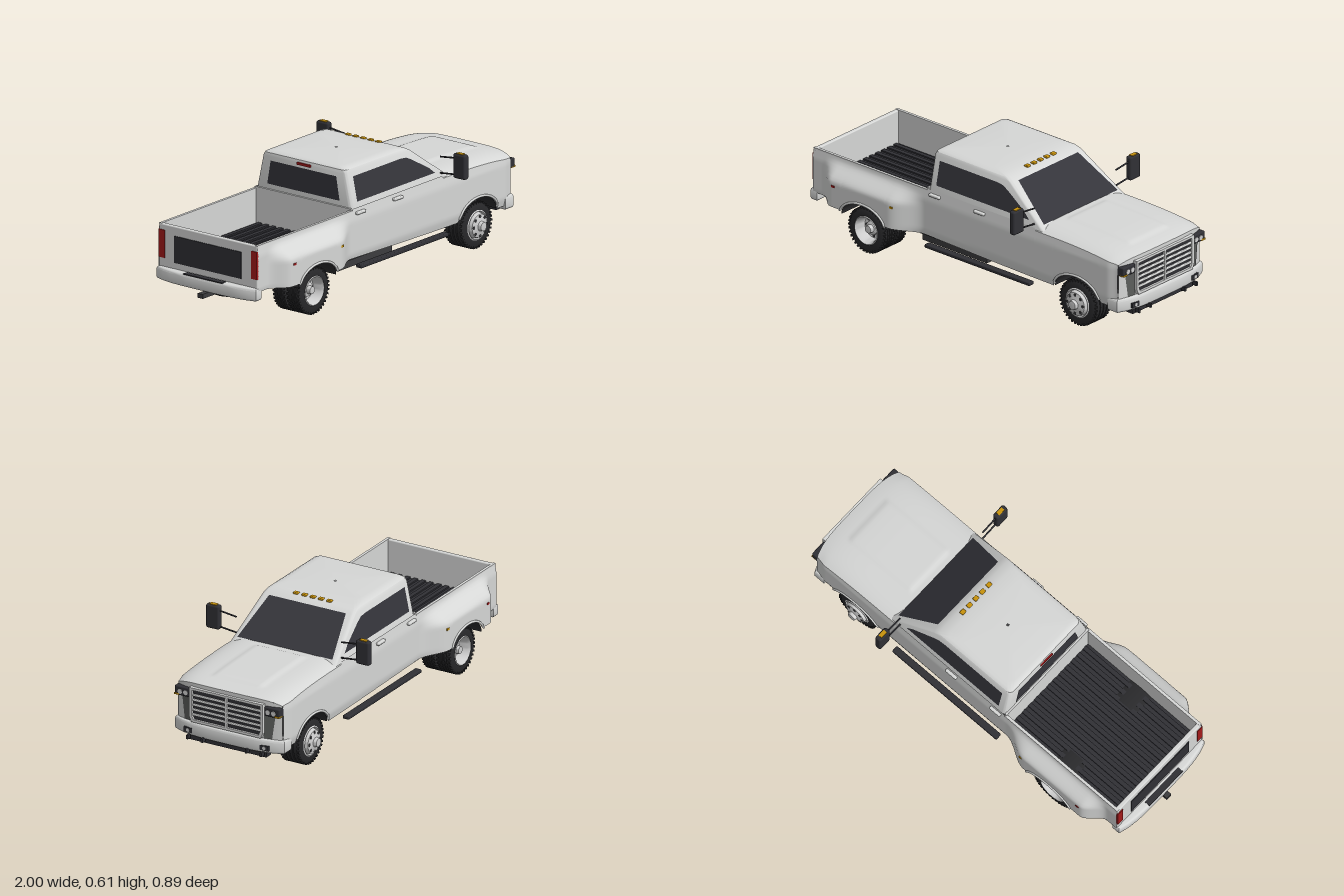
import * as THREE from 'three';
import { toCreasedNormals } from 'three/addons/utils/BufferGeometryUtils.js';
import { RoundedBoxGeometry } from 'three/addons/geometries/RoundedBoxGeometry.js';

const mat = (name, color) => new THREE.MeshStandardMaterial({ name, color, side: THREE.DoubleSide });
const paint = mat('paint', 0xd6d7d6), glass = mat('glass', 0x35353b), rubber = mat('rubber', 0x29292b);
const trim = mat('trim', 0x303035), amber = mat('amber', 0xc8920c), red = mat('red', 0xa31a1a);
const grey = mat('grey', 0x5c5e5c), metal = mat('metal', 0xcfcfcf), steel = mat('steel', 0x3c3c3e);

const step = THREE.MathUtils.smoothstep;
const AXLES = [-0.575, 0.69];
const SIDES = [1, -1];

// Rules that shape the body: half width, lower edge, upper edge, nose and hood
function sideZ(x, y) {
  const flare = step(x, -0.88, -0.77) * (1 - step(x, -0.42, -0.25)) * (1 - step(y, 0.31, 0.395));
  return 0.298 + 0.067 * flare - 0.15 * Math.max(0, y - 0.36)
    - 0.25 * Math.max(0, 0.2 - y) * (1 - flare) - 0.012 * step(x, 0.88, 0.94);
}
function lowerY(x) {
  const base = 0.187 - 0.027 * step(x, -0.7, 0.6);
  for (const a of AXLES) {
    const d = (x - a) / 0.14;
    if (Math.abs(d) < 1) return Math.max(base, 0.165 + 0.09 * Math.sqrt(1 - d * d));
  }
  return base;
}
const hoodEdge = t => 0.405 - 0.025 * t ** 3;
const upperY = x => x < -0.235 ? 0.41 : x < 0.43 ? 0.418 : hoodEdge((x - 0.43) / 0.508);
const noseX = z => 0.968 - 0.03 * (z / 0.29) ** 4;
function hoodY(z, t, w) {
  const e = hoodEdge(t), c = 0.433 - 0.01 * t - 0.02 * t ** 6;
  const dome = (1 - step(Math.abs(z), 0.125, 0.14)) * step(t, 0.1, 0.14) * (1 - step(t, 0.8, 0.86));
  return e + (c - e) * (1 - Math.min(1, Math.abs(z / w)) ** 6) + 0.006 * dome;
}

export function createModel() {
  const model = new THREE.Group();
  model.name = 'pickupTruck';

  const add = (name, geo, m, p = [0, 0, 0], parent = model) => {
    const mesh = new THREE.Mesh(geo, m);
    mesh.name = name;
    mesh.position.set(...p);
    parent.add(mesh);
    return mesh;
  };
  const box = (name, m, size, p, parent) => add(name, new THREE.BoxGeometry(...size), m, p, parent);
  const soft = (name, m, size, p, r = 0.006) => add(name, new RoundedBoxGeometry(...size, 3, r), m, p);
  const grid = (nu, nv, f) => {
    const g = new THREE.PlaneGeometry(1, 1, nu, nv), a = g.attributes.position;
    for (let i = 0; i < a.count; i++) a.setXYZ(i, ...f(a.getX(i) + 0.5, a.getY(i) + 0.5));
    g.computeVertexNormals();
    return g;
  };
  const shape = pts => new THREE.Shape(pts.map(p => new THREE.Vector2(...p)));
  const plate = (name, m, pts, f) => {
    const g = new THREE.ShapeGeometry(shape(pts)), a = g.attributes.position;
    for (let i = 0; i < a.count; i++) a.setXYZ(i, ...f(a.getX(i), a.getY(i)));
    g.computeVertexNormals();
    return add(name, g, m);
  };
  const rod = (name, m, a, b, r) => {
    const A = new THREE.Vector3(...a), B = new THREE.Vector3(...b), d = B.clone().sub(A);
    const mesh = add(name, new THREE.CylinderGeometry(r, r, d.length(), 16), m);
    mesh.position.copy(A.add(B).multiplyScalar(0.5));
    mesh.quaternion.setFromUnitVectors(new THREE.Vector3(0, 1, 0), d.normalize());
  };
  // Horizontal slab from an (x, z) outline
  const slab = (name, m, pts, y0, y1, bevel) => {
    const g = new THREE.ExtrudeGeometry(shape(pts), { depth: y1 - y0 - 2 * bevel, bevelSize: bevel,
      bevelThickness: bevel, bevelOffset: -bevel, bevelSegments: 3 });
    add(name, toCreasedNormals(g.rotateX(Math.PI / 2), 0.7), m, [0, y1 - bevel, 0]);
  };

  // Body sides with wheel arches and wide rear fenders
  for (const s of SIDES) {
    add('bodySide', grid(220, 18, (u, v) => {
      const x = -0.94 + u * 1.878, y = lowerY(x) + v * (upperY(x) - lowerY(x));
      return [x, y, s * sideZ(x, y)];
    }), paint);
    for (const a of AXLES) {
      const rim = x => s * (sideZ(x, lowerY(x)) + 0.001);
      const path = new THREE.CatmullRomCurve3(Array.from({ length: 17 }, (_, i) => {
        const x = a - 0.139 * Math.cos(Math.PI * i / 16);
        return new THREE.Vector3(x, lowerY(x), rim(x));
      }));
      add('archLip', new THREE.TubeGeometry(path, 40, 0.006, 8), paint);
      const liner = new THREE.CylinderGeometry(0.138, 0.138, a < 0 ? 0.19 : 0.12, 32, 1, true, Math.PI / 2, Math.PI);
      liner.rotateX(Math.PI / 2).scale(1, 0.65, 1);
      add('wheelWell', liner, rubber, [a, 0.163, s * (a < 0 ? 0.26 : 0.228)]);
    }
  }

  // Hood and front face
  add('hood', grid(48, 48, (u, t) => {
    const w = sideZ(0.43 + t * 0.508, hoodEdge(t)), z = (2 * u - 1) * w;
    return [0.43 + t * (noseX(z) - 0.43), hoodY(z, t, w), z];
  }), paint);
  add('frontFace', grid(32, 4, (u, v) => {
    const w = sideZ(0.938, 0.38), z = (2 * u - 1) * w;
    return [noseX(z), 0.18 + v * (hoodY(z, 1, w) - 0.18), z];
  }), paint);

  // Cab lofted from rounded rings: height, front x, rear x, half width, corner radius
  const rings = [[0.405, 0.489, -0.235, 0.287, 0.02], [0.58, 0.25, -0.233, 0.25, 0.02],
    [0.594, 0.222, -0.23, 0.243, 0.022], [0.602, 0.18, -0.22, 0.228, 0.025],
    [0.605, 0.12, -0.2, 0.2, 0.03], [0.606, 0.01, 0, 0.005, 0.001]];
  const cab = grid(24, rings.length - 1, (u, v) => {
    const [y, xf, xb, w, r] = rings[Math.round(v * (rings.length - 1))];
    const i = Math.round(u * 24) % 24, k = Math.floor(i / 6), a = (k + (i % 6) / 5) * Math.PI / 2;
    const cx = k === 0 || k === 3 ? xf - r : xb + r, cz = k < 2 ? w - r : r - w;
    return [cx + r * Math.cos(a), y, cz + r * Math.sin(a)];
  });
  add('cab', toCreasedNormals(cab, 0.6), paint);

  // Windows
  plate('windshield', glass, [[-0.258, 0.432], [0.258, 0.432], [0.208, 0.58], [-0.208, 0.58]],
    (z, y) => [0.489 - (y - 0.405) * 0.239 / 0.175 + 0.004, y, z]);
  for (const s of SIDES)
    plate('sideWindow', glass, [[-0.19, 0.442], [0.385, 0.442], [0.35, 0.472], [0.235, 0.54], [0.2, 0.556],
      [0.16, 0.56], [-0.19, 0.56]], (x, y) => [x, y, s * (0.289 - (y - 0.405) * 0.037 / 0.175)]);
  plate('rearWindow', glass, [[-0.215, 0.445], [0.215, 0.445], [0.195, 0.56], [-0.195, 0.56]], (z, y) => [-0.238, y, z]);
  box('highBrakeLight', red, [0.008, 0.012, 0.08], [-0.235, 0.577, 0]);
  for (let i = -2; i <= 2; i++) soft('roofLight', amber, [0.022, 0.011, 0.026], [0.205, 0.599, i * 0.045], 0.004);

  // Cargo bed with ribbed floor
  box('bedFloor', trim, [0.7, 0.012, 0.565], [-0.585, 0.236, 0]);
  for (let i = -6; i <= 6; i++) box('floorRib', trim, [0.69, 0.008, 0.022], [-0.585, 0.245, i * 0.042]);
  box('bedFrontWall', paint, [0.012, 0.2, 0.57], [-0.238, 0.32, 0]);
  for (const s of SIDES) {
    box('bedInnerWall', paint, [0.7, 0.17, 0.006], [-0.588, 0.323, s * 0.281]);
    box('bedRail', paint, [0.705, 0.006, 0.014], [-0.588, 0.409, s * 0.285]);
  }
  soft('tailgate', paint, [0.022, 0.225, 0.585], [-0.931, 0.298, 0]);
  box('tailgatePanel', trim, [0.006, 0.13, 0.4], [-0.943, 0.3, 0]);
  for (const s of SIDES) box('tailLight', red, [0.014, 0.135, 0.035], [-0.939, 0.315, s * 0.275]);

  // Bumpers
  const bumper = (name, tip, edge, back, w, y0, y1) => {
    const pts = [[back, -w]];
    for (let i = 0; i <= 12; i++) {
      const k = i / 6 - 1;
      pts.push([tip + (edge - tip) * k ** 4, k * w]);
    }
    pts.push([back, w]);
    slab(name, paint, pts, y0, y1, 0.012);
  };
  bumper('frontBumper', 0.986, 0.945, 0.885, 0.297, 0.14, 0.208);
  bumper('rearBumper', -0.982, -0.955, -0.915, 0.296, 0.143, 0.205);
  box('stepPad', trim, [0.03, 0.005, 0.23], [-0.968, 0.206, 0]);
  box('hitch', steel, [0.11, 0.022, 0.03], [-0.945, 0.126, 0]);
  box('frontValance', trim, [0.04, 0.03, 0.42], [0.945, 0.13, 0]);
  for (const z of [-0.2, -0.12, 0.12, 0.2]) box('towHook', trim, [0.025, 0.02, 0.01], [0.9875, 0.138, z]);

  // Grille
  const frame = shape([[-0.188, 0.212], [0.188, 0.212], [0.2, 0.24], [0.2, 0.384], [-0.2, 0.384], [-0.2, 0.24]]);
  frame.holes.push(new THREE.Path([[-0.176, 0.225], [-0.185, 0.245], [-0.185, 0.372], [0.185, 0.372],
    [0.185, 0.245], [0.176, 0.225]].map(p => new THREE.Vector2(...p))));
  add('grilleFrame', new THREE.ExtrudeGeometry(frame, { depth: 0.022, bevelEnabled: false }).rotateY(Math.PI / 2),
    paint, [0.96, 0, 0]);
  box('grilleBack', trim, [0.008, 0.155, 0.375], [0.967, 0.298, 0]);
  for (let i = 0; i < 5; i++) soft('grilleBar', paint, [0.012, 0.011, 0.37], [0.975, 0.249 + i * 0.0245, 0], 0.004);
  box('grillePost', paint, [0.014, 0.15, 0.012], [0.976, 0.298, 0]);

  // Lamps, mirrors, handles and running boards on both sides
  const lens = (r, p) => add('lens', new THREE.CylinderGeometry(r, r, 0.008, 20).rotateZ(Math.PI / 2), metal, p);
  for (const s of SIDES) {
    soft('headlightHousing', trim, [0.05, 0.046, 0.083], [0.948, 0.35, s * 0.243]);
    for (const z of [0.223, 0.254]) lens(0.012, [0.972, 0.348, s * z]);
    box('cornerLamp', amber, [0.03, 0.008, 0.025], [0.96, 0.333, s * 0.272]);
    plate('cornerPanel', grey, [[0.196, 0.21], [0.237, 0.21], [0.253, 0.328], [0.2, 0.328]],
      (z, y) => [noseX(z) + 0.004, y, s * z]);
    box('fogHousing', trim, [0.012, 0.024, 0.046], [0.976, 0.167, s * 0.207]);
    lens(0.009, [0.98, 0.167, s * 0.207]);

    soft('mirror', trim, [0.033, 0.12, 0.072], [0.42, 0.49, s * 0.407], 0.01);
    box('mirrorLamp', amber, [0.02, 0.006, 0.036], [0.42, 0.55, s * 0.407]);
    rod('mirrorArm', trim, [0.42, 0.524, s * 0.375], [0.42, 0.513, s * 0.285], 0.004);
    rod('mirrorArm', trim, [0.42, 0.444, s * 0.375], [0.42, 0.434, s * 0.285], 0.004);

    for (const x of [-0.185, 0.09]) soft('doorHandle', paint, [0.065, 0.014, 0.02], [x, 0.394, s * 0.297], 0.005);
    box('sideMarker', amber, [0.018, 0.01, 0.006], [-0.4, 0.293, s * sideZ(-0.4, 0.293)]);
    box('rearMarker', red, [0.018, 0.01, 0.006], [-0.755, 0.293, s * sideZ(-0.755, 0.293)]);
    soft('runningBoard', trim, [0.65, 0.018, 0.034], [0.105, 0.142, s * 0.314], 0.005);
  }

  // Wheels: z is the outer face of the tyre
  const lathe = (pts, n = 40) => toCreasedNormals(
    new THREE.LatheGeometry(pts.map(p => new THREE.Vector2(...p)), n).rotateX(Math.PI / 2), 0.6);
  const tyre = (w, parent, z) => {
    const pts = [[0.07, -w / 2], [0.098, -w / 2], [0.11, -w / 2 + 0.008]];
    for (let i = 0; i < 4; i++) {
      const a = (i / 4 - 0.5) * (w - 0.018), b = a + (w - 0.018) / 4;
      pts.push([0.106, a], [0.114, a + 0.003], [0.114, b - 0.003], [0.106, b]);
    }
    pts.push([0.11, w / 2 - 0.008], [0.098, w / 2], [0.07, w / 2]);
    add('tyre', lathe(pts), rubber, [0, 0, z - w / 2], parent);
    const lug = new THREE.BoxGeometry(0.009, 0.012, 0.014);
    for (let i = 0; i < 36; i++) for (const e of [0.009, w - 0.009]) {
      const a = i * Math.PI / 18;
      add('treadLug', lug, rubber, [0.108 * Math.cos(a), 0.108 * Math.sin(a), z - e], parent).rotation.z = a - Math.PI / 2;
    }
  };
  const wheel = (x, s, rear) => {
    const g = new THREE.Group();
    g.name = rear ? 'rearWheel' : 'frontWheel';
    g.position.set(x, 0.114, 0);
    if (s < 0) g.rotation.y = Math.PI;
    model.add(g);
    if (rear) { tyre(0.075, g, 0.337); tyre(0.075, g, 0.253); } else tyre(0.108, g, 0.287);
    // Dished rear rim or domed front rim
    add('rim', lathe(rear
      ? [[0.07, 0.25], [0.073, 0.336], [0.068, 0.341], [0.06, 0.325], [0.054, 0.285], [0.036, 0.28], [0.034, 0.3], [0.02, 0.305], [0.018, 0.325], [0, 0.327]]
      : [[0.07, 0.19], [0.073, 0.287], [0.067, 0.291], [0.063, 0.278], [0.056, 0.302], [0.03, 0.308], [0.024, 0.31], [0.021, 0.326], [0, 0.329]]), metal, [0, 0, 0], g);
    for (let i = 0; i < 8; i++) {
      const a = i * Math.PI / 4, r = rear ? 0.045 : 0.046;
      const hole = new THREE.CylinderGeometry(0.0075, 0.0075, 0.004, 14).rotateX(Math.PI / 2);
      add('rimHole', hole, steel, [r * Math.cos(a), r * Math.sin(a), rear ? 0.283 : 0.304], g);
    }
  };
  for (const s of SIDES) { wheel(AXLES[0], s, true); wheel(AXLES[1], s, false); }

  // Underbody
  box('cabFloor', steel, [0.96, 0.012, 0.565], [0.06, 0.176, 0]);
  box('engineBay', rubber, [0.36, 0.2, 0.33], [0.69, 0.265, 0]);
  box('frontFloor', steel, [0.1, 0.012, 0.55], [0.88, 0.18, 0]);
  box('rearFloor', steel, [0.2, 0.012, 0.54], [-0.825, 0.2, 0]);
  for (const s of SIDES) box('frameRail', trim, [1.8, 0.045, 0.03], [0.01, 0.15, s * 0.14]);
  for (const x of [-0.88, -0.42, -0.1, 0.25, 0.5, 0.85]) box('crossMember', trim, [0.035, 0.03, 0.28], [x, 0.15, 0]);
  for (const [x, z] of [[AXLES[0], 0], [AXLES[1], 0.045]]) {
    rod('axle', steel, [x, 0.114, -0.25], [x, 0.114, 0.25], 0.016);
    add('differential', new THREE.SphereGeometry(0.036, 20, 14), steel, [x, 0.114, z]);
    for (const s of SIDES) box('spring', rubber, [0.28, 0.01, 0.025], [x, 0.134, s * 0.165]);
  }
  rod('driveShaft', steel, [-0.55, 0.118, 0], [0.25, 0.145, 0], 0.013);
  rod('gearbox', steel, [0.2, 0.15, 0], [0.5, 0.16, 0], 0.035);
  rod('exhaust', grey, [-0.4, 0.135, -0.2], [0.45, 0.135, -0.18], 0.012);
  rod('muffler', grey, [-0.2, 0.14, -0.2], [0.05, 0.14, -0.19], 0.024);
  box('fuelTank', steel, [0.4, 0.045, 0.09], [-0.1, 0.147, 0.21]);
  const spare = add('spareTyre', new THREE.TorusGeometry(0.076, 0.022, 14, 36).rotateX(Math.PI / 2), rubber, [-0.78, 0.113, 0]);
  spare.scale.y = 0.9;
  add('spareRim', new THREE.CylinderGeometry(0.06, 0.06, 0.02, 28), metal, [-0.78, 0.113, 0]);
  return model;
}
